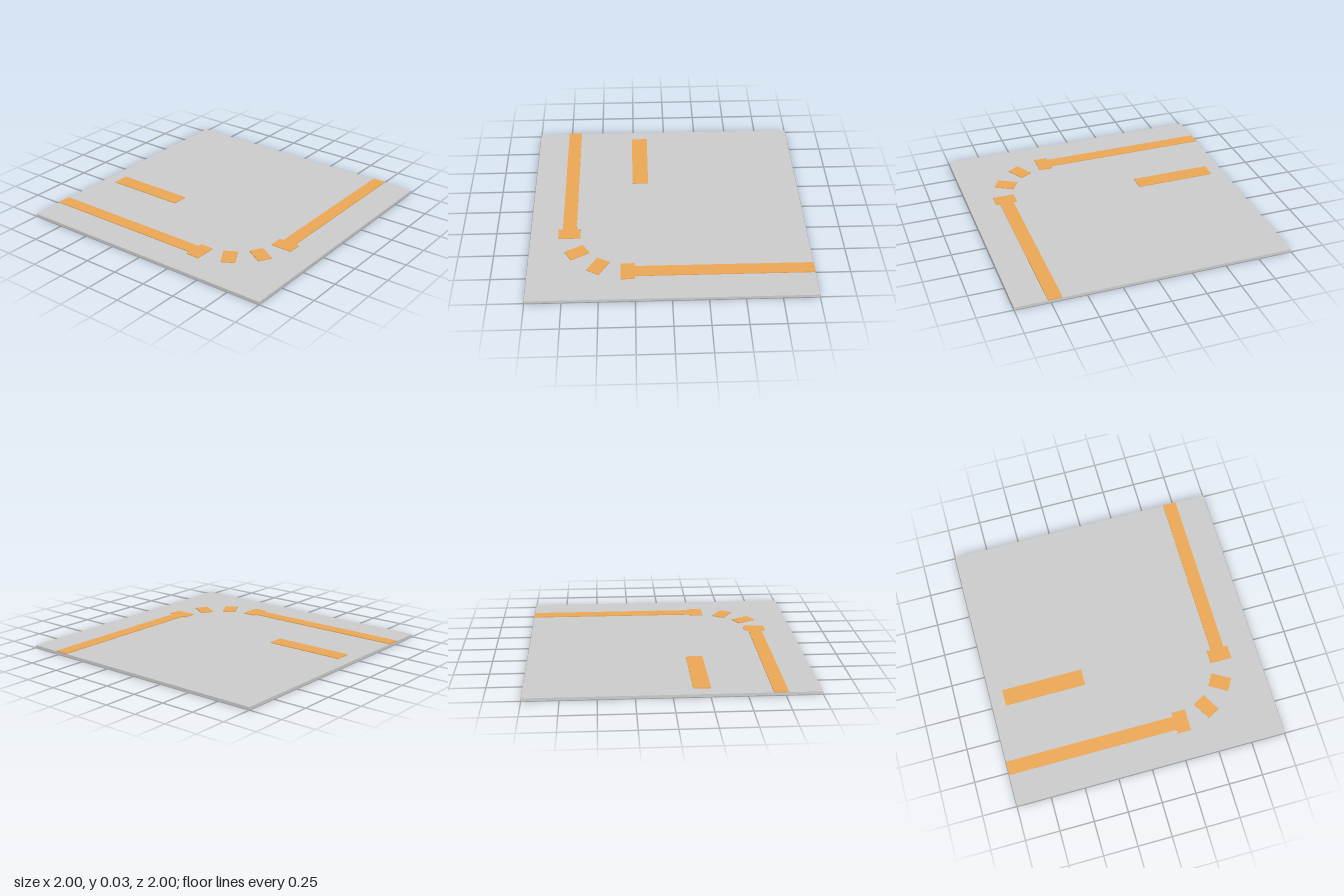
import * as THREE from 'three';

const PLATE = 0.02; // plate thickness
const RAISE = 0.006; // height of markings above the plate

export function createModel() {
  const group = new THREE.Group();
  const grey = new THREE.MeshStandardMaterial({ color: 0xcccccc });
  const orange = new THREE.MeshStandardMaterial({ color: 0xeca855 });

  const plate = new THREE.Mesh(new THREE.BoxGeometry(2, PLATE, 2), grey);
  plate.name = 'basePlate';
  plate.position.y = PLATE / 2;
  group.add(plate);

  // Raised slab of size w x d centred at x, z, turned by angle degrees
  function slab(name, x, z, w, d, angle = 0, parent = group) {
    const mesh = new THREE.Mesh(new THREE.BoxGeometry(w, RAISE, d), orange);
    mesh.name = name;
    mesh.position.set(x, PLATE + RAISE / 2, z);
    mesh.rotation.y = THREE.MathUtils.degToRad(angle);
    parent.add(mesh);
  }

  // Two rails with wide ends and a corner tile each, mirrored across the x = z diagonal
  for (const side of ['right', 'left']) {
    const track = new THREE.Group();
    track.name = side + 'Track';
    const swap = side === 'right';
    const put = (name, x, z, w, d, a = 0) => swap
      ? slab(name, z, x, d, w, -a, track)
      : slab(name, x, z, w, d, a, track);
    put('rail', 0.72, -0.375, 0.1, 1.25);
    put('railEnd', 0.72, 0.3, 0.16, 0.1);
    put('cornerTile', 0.66, 0.508, 0.15, 0.1, -30);
    group.add(track);
  }

  // Separate bar
  slab('bar', -0.6, 0.2, 0.6, 0.12);

  return group;
}
